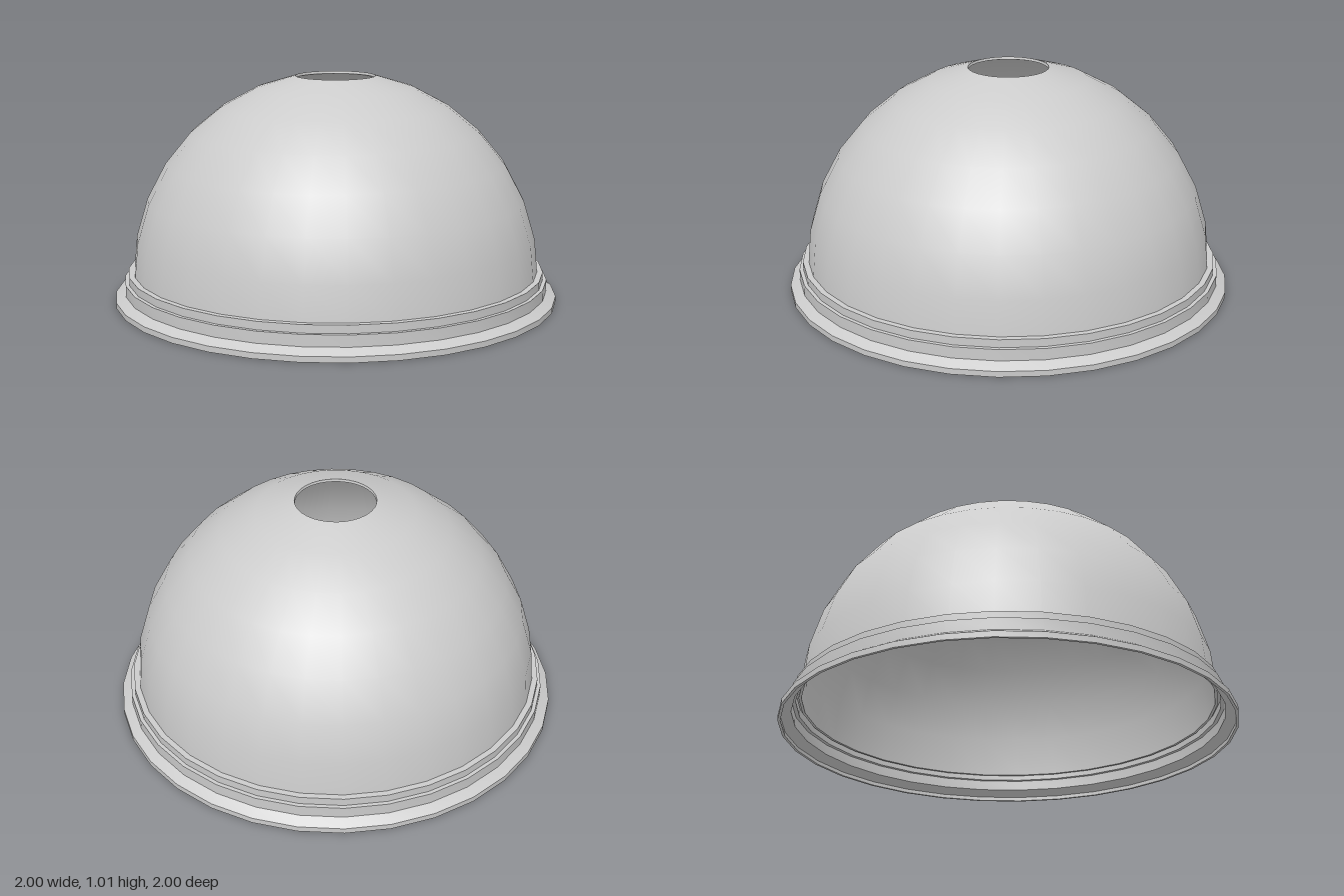
import * as THREE from 'three';
import { toCreasedNormals } from 'three/addons/utils/BufferGeometryUtils.js';

const SEGMENTS = 32;
const material = new THREE.MeshStandardMaterial({ color: 0xcccccc, side: THREE.DoubleSide });

// Closed [radius, height] profile, listed up the outside and down the inside
function turned(name, profile) {
  const points = [...profile, profile[0]].map(([r, y]) => new THREE.Vector2(r, y));
  const mesh = new THREE.Mesh(toCreasedNormals(new THREE.LatheGeometry(points, SEGMENTS), 0.4), material);
  mesh.name = name;
  return mesh;
}

// Meridian of the dome, from its equator up to the round opening
function meridian(radius, centerY) {
  const arc = [];
  for (let i = 0; i <= 7; i++) {
    const a = (i * Math.PI) / 16;
    arc.push([radius * Math.cos(a), centerY + radius * Math.sin(a)]);
  }
  return arc;
}

export function createModel() {
  const group = new THREE.Group();
  group.name = 'domeShade';

  // Thin hemispherical shell with an open crown
  const outer = meridian(0.917, 0.107);
  const inner = meridian(0.905, 0.107).reverse();
  group.add(turned('dome', [...outer, ...inner]));

  // Stepped, flared rim, hollow underneath
  group.add(turned('rim', [
    [1.0, 0], [1.0, 0.025], [0.957, 0.05], [0.957, 0.1],
    [0.94, 0.1], [0.94, 0.135], [0.91, 0.135],
    [0.91, 0.123], [0.928, 0.123], [0.928, 0.088],
    [0.945, 0.088], [0.945, 0.042], [0.988, 0.017], [0.988, 0],
  ]));

  return group;
}
